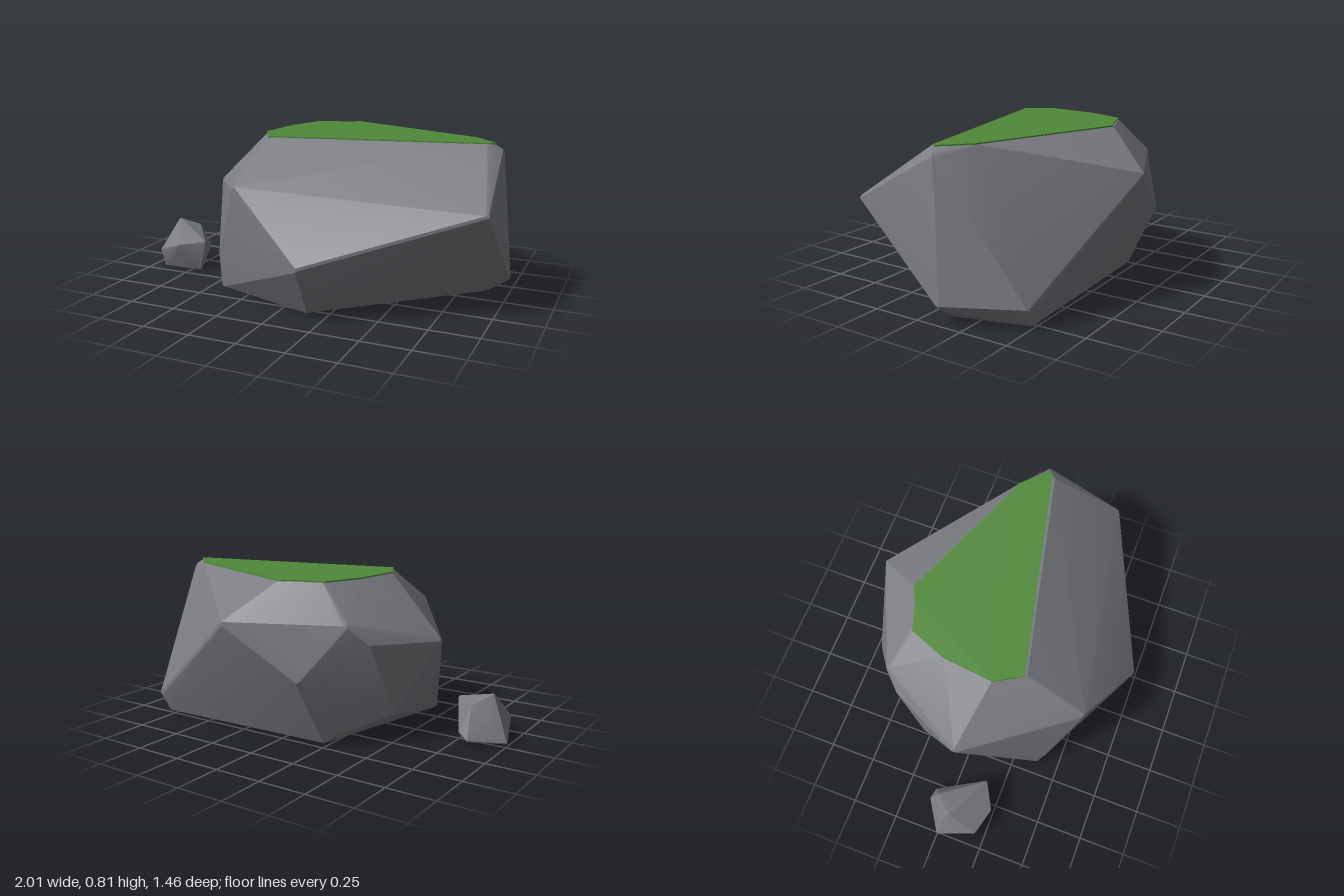
import * as THREE from 'three';
import { ConvexGeometry } from 'three/addons/geometries/ConvexGeometry.js';
import { toCreasedNormals } from 'three/addons/utils/BufferGeometryUtils.js';

// Convex stone through corner points, its edges softened by a small radius.
function stone(name, corners, radius, bottom, top, material) {
  const points = corners.map((c) => new THREE.Vector3(...c));
  const center = new THREE.Box3().setFromPoints(points).getCenter(new THREE.Vector3());
  const ball = new THREE.IcosahedronGeometry(radius, 0).attributes.position;
  const soft = new Map();
  for (const p of points) {
    const inner = p.clone().addScaledVector(p.clone().sub(center).normalize(), -radius);
    for (let i = 0; i < ball.count; i++) {
      const q = new THREE.Vector3().fromBufferAttribute(ball, i).add(inner);
      q.y = THREE.MathUtils.clamp(q.y, bottom, top);
      soft.set(q.toArray().map((n) => n.toFixed(4)).join(), q);
    }
  }
  const mesh = new THREE.Mesh(toCreasedNormals(new ConvexGeometry([...soft.values()]), 0.3), material);
  mesh.name = name;
  return mesh;
}

export function createModel() {
  const rockGray = new THREE.MeshStandardMaterial({ color: 0x7c7d83 });
  rockGray.name = 'rock gray';
  const mossGreen = new THREE.MeshStandardMaterial({ color: 0x4f8a38 });
  mossGreen.name = 'moss green';

  const model = new THREE.Group();
  model.name = 'mossyRocks';

  // outline of the flat top, as x and z
  const topOutline = [
    [-0.31, 0.07], [-0.23, 0.21], [0.89, -0.04], [0.91, -0.06], [0.78, -0.19],
    [0.02, -0.485], [-0.04, -0.45], [-0.2, -0.4], [-0.28, -0.2],
  ];

  // large boulder
  const boulder = [
    ...topOutline.map(([x, z]) => [x, 0.805, z]),
    [0.95, 0.77, -0.07],
    // middle ring
    [0.98, 0.53, 0.34], [0.17, 0.28, 0.73], [-0.26, 0.6, 0.545], [-0.42, 0.2, 0.42],
    [-0.645, 0.5, -0.02], [-0.46, 0.53, -0.41], [-0.38, 0.62, -0.49],
    [-0.2, 0.36, -0.635], [0.18, 0.62, -0.735], [0.845, 0.1, -0.51], [1.005, 0.09, -0.13],
    [-0.52, 0.16, -0.26],
    // base
    [0.9, 0.01, -0.13], [0.15, 0.01, 0.56], [-0.43, 0.01, 0.38],
    [-0.24, 0.01, -0.46], [0.8, 0.01, -0.49],
  ];
  model.add(stone('boulder', boulder, 0.02, 0.01, 0.805, rockGray));

  // moss plate on the flat top
  const shape = new THREE.Shape(topOutline.map(([x, z]) => new THREE.Vector2(x, -z)));
  const mossGeometry = new THREE.ExtrudeGeometry(shape, { depth: 0.007, bevelEnabled: false });
  mossGeometry.rotateX(-Math.PI / 2);
  const moss = new THREE.Mesh(mossGeometry, mossGreen);
  moss.name = 'mossTop';
  moss.position.y = 0.804;
  model.add(moss);

  // small stone beside it
  const pebble = [
    [-0.91, 0.255, 0.04], [-0.83, 0.2, -0.05], [-0.665, 0.165, 0.17], [-0.8, 0.15, 0.245],
    [-0.94, 0.1, 0.205], [-0.93, 0.13, -0.02], [-1.005, 0.02, 0], [-0.84, 0.03, -0.105],
    [-0.79, 0.06, -0.09], [-0.7, 0, 0.17], [-0.93, 0, 0.18], [-0.97, 0.01, 0.08],
  ];
  model.add(stone('smallStone', pebble, 0.01, 0, 0.25, rockGray));

  return model;
}
